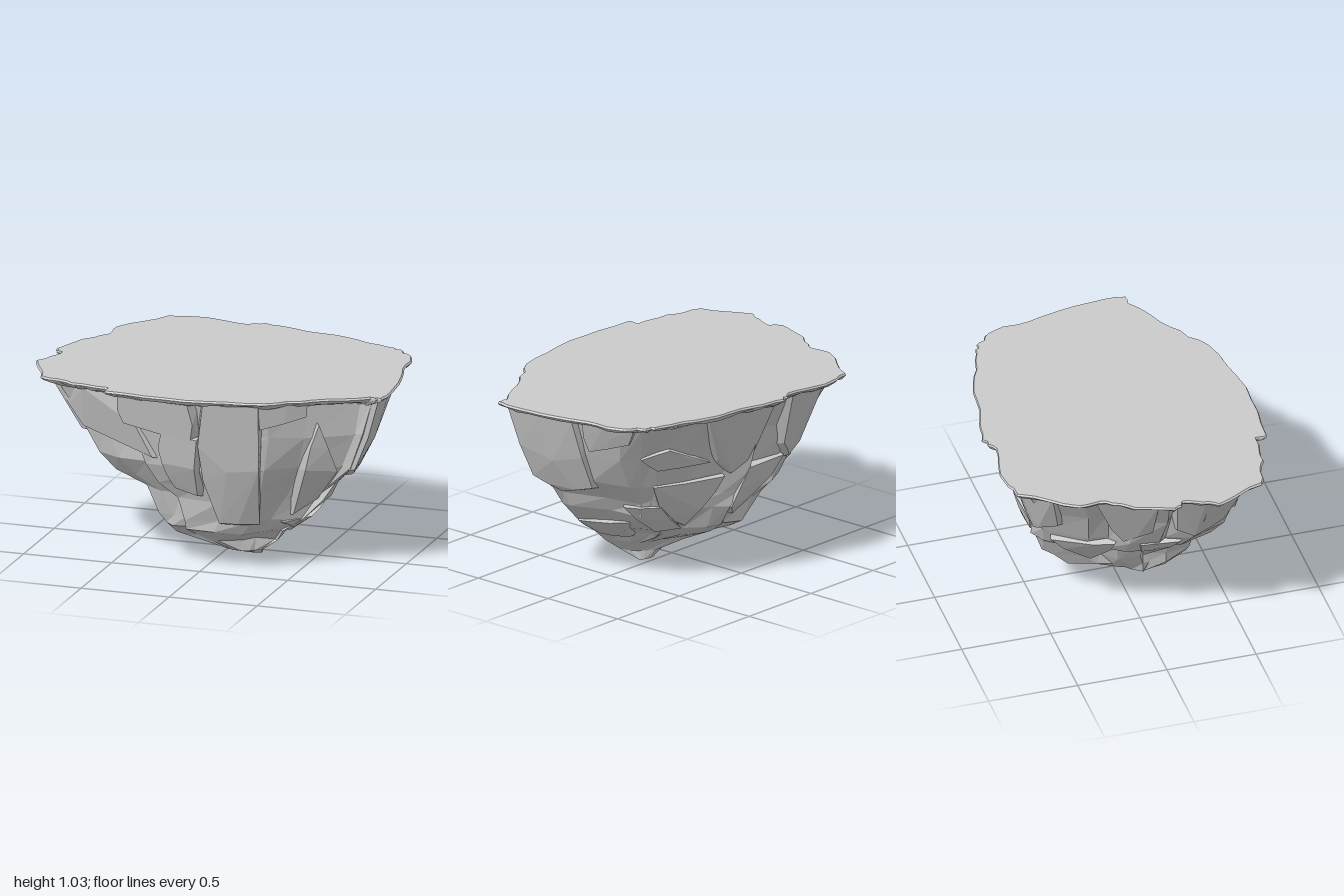
import * as THREE from 'three';
import { ConvexGeometry } from 'three/addons/geometries/ConvexGeometry.js';

// Plan of the top, clockwise from the left
const OUTLINE = [
  [-1, .3], [-.92, .13], [-.97, .06], [-.9, -.15], [-.8, -.28], [-.8, -.43], [-.6, -.72],
  [-.4, -.755], [-.16, -.705], [-.06, -.755], [.13, -.71], [.45, -.65], [.72, -.55], [.81, -.51],
  [.89, -.41], [.94, -.13], [1, .25], [.99, .37], [.92, .37], [.65, .52], [.43, .67], [0, .75],
  [-.46, .725], [-.47, .66], [-.68, .64], [-.88, .57],
];
const N = OUTLINE.length;

// Rock profile, top to tip: y, left, right, back, front
const ROWS = [
  [1, -.92, .93, -.68, .67], [.8, -.79, .87, -.59, .62], [.6, -.69, .79, -.54, .575],
  [.48, -.58, .68, -.51, .51], [.4, -.41, .62, -.48, .475], [.27, -.33, .5, -.41, .445],
  [.2, -.3, .39, -.31, .42], [.12, -.26, .33, -.1, .26], [.05, .03, .24, 0, .22],
  [0, .1, .2, .03, .07],
];

const material = new THREE.MeshStandardMaterial({ color: 0xcccccc, flatShading: true });

// Seeded noise between -1 and 1
function makeNoise(seed) {
  return () => {
    seed = (seed * 16807) % 2147483647;
    return seed / 1073741823.5 - 1;
  };
}

// Point on the plan at a fractional index k
function planPoint(k) {
  const i = Math.floor(k), a = OUTLINE[i % N], b = OUTLINE[(i + 1) % N];
  return [0, 1].map(c => THREE.MathUtils.lerp(a[c], b[c], k - i));
}

// Point of the rock at plan index k and height y; the back left corner is worn away lower down
function surface(k, y) {
  let r = 0;
  while (r < ROWS.length - 2 && ROWS[r + 1][0] > y) r++;
  const f = (ROWS[r][0] - y) / (ROWS[r][0] - ROWS[r + 1][0]);
  const [, left, right, back, front] = ROWS[r].map((v, c) => THREE.MathUtils.lerp(v, ROWS[r + 1][c], f));
  const [u, v] = planPoint(k);
  const worn = u > 0 && v < 0 ? 1 + .65 * u * v * (1 - y) : 1;
  return new THREE.Vector3(
    (left + right) / 2 + u * worn * (right - left) / 2, y,
    (back + front) / 2 + v * worn / .75 * (front - back) / 2);
}

// Rock point on the +main side, at coordinate c along the other horizontal axis
function pointFacing(main, across, c, y) {
  let best, score = Infinity;
  for (let k = 0; k < N; k += .1) {
    const p = surface(k, y);
    const d = Math.abs(p[across] - c) + (p[main] < .05 ? 1 : 0);
    if (d < score) [score, best] = [d, p];
  }
  return best;
}
const onFront = (x, y) => pointFacing('z', 'x', x, y);
const onLeft = (z, y) => pointFacing('x', 'z', z, y);

// Closed skin through rings listed from top to bottom
function loft(rings) {
  const n = rings[0].length, last = rings.length - 1, points = rings.flat(), index = [];
  for (let r = 0; r < last; r++) {
    for (let j = 0; j < n; j++) {
      const a = r * n + j, b = r * n + (j + 1) % n;
      index.push(a, b, b + n, a, b + n, a + n);
    }
  }
  [0, last].forEach(r => {
    const centre = new THREE.Vector3();
    rings[r].forEach(p => centre.addScaledVector(p, 1 / n));
    const c = points.push(centre) - 1;
    for (let j = 0; j < n; j++) {
      const a = r * n + j, b = r * n + (j + 1) % n;
      index.push(c, r ? a : b, r ? b : a);
    }
  });
  const geometry = new THREE.BufferGeometry().setFromPoints(points);
  geometry.setIndex(index);
  const flat = geometry.toNonIndexed();
  flat.computeVertexNormals();
  return flat;
}

// Bevelled rock plate following the surface between corners
function plate(locate, depth, corners) {
  const edge = corners.flatMap((a, i) => {
    const b = corners[(i + 1) % corners.length];
    return [a, [(a[0] + b[0]) / 2, (a[1] + b[1]) / 2]];
  });
  const mid = [0, 1].map(c => corners.reduce((s, p) => s + p[c], 0) / corners.length);
  const push = (c, y, d) => {
    const p = locate(c, y);
    return p.addScaledVector(new THREE.Vector3(p.x - .1, 0, p.z - .05).normalize(), d);
  };
  const points = [push(...mid, depth)];
  edge.forEach(([c, y]) => {
    points.push(push(c, y, -.04));
    const s = .9;
    points.push(push(mid[0] + (c - mid[0]) * s, y > .98 ? y : mid[1] + (y - mid[1]) * s, depth));
  });
  return new ConvexGeometry(points);
}

const FRONT_PLATES = [
  [.045, [[-.41, 1], [-.37, .83], [-.18, .8], [.04, .75], [.04, 1]]],
  [.045, [[-.18, .82], [-.17, .62], [-.11, .45], [.03, .41], [.04, .8]]],
  [.04, [[.06, 1], [.02, .52], [.1, .24], [.3, .23], [.4, 1]]],
  [.035, [[.36, .85], [.58, .92], [.6, 1], [.36, 1]]],
  [.02, [[-.85, .98], [-.66, .74], [-.18, .62], [-.42, 1]]],
  [.025, [[.64, .9], [.54, .6], [.43, .28], [.56, .38], [.7, .58]]],
];
const LEFT_PLATES = [
  [.035, [[.34, 1], [.29, .57], [.12, .49], [-.1, .56], [-.12, 1]]],
  [.03, [[-.12, .81], [-.38, .9], [-.45, 1], [-.12, 1]]],
  [.03, [[.3, .26], [.16, .17], [-.02, .18], [-.14, .34], [.1, .3]]],
  [.035, [[-.38, .7], [-.37, .8], [-.46, .84], [-.5, .7]]],
  [.03, [[-.15, .46], [-.32, .46], [-.3, .28], [-.2, .26]]],
];

export function createModel() {
  const group = new THREE.Group();
  const add = (name, geometry) => {
    const mesh = new THREE.Mesh(geometry, material);
    mesh.name = name;
    group.add(mesh);
  };
  const noise = makeNoise(11);

  // Flat ground with a thin ragged lip
  const ragged = Array.from({ length: N * 4 }, (_, i) => {
    const s = i % 4 ? 1 + noise() * .014 : 1;
    return planPoint(i / 4).map((v, c) => THREE.MathUtils.clamp(v * s, c ? -.755 : -1, c ? .75 : 1));
  });
  const lip = [[1.03, .992], [1.02, 1], [1.005, .985], [.985, .92]];
  add('ground', loft(lip.map(([y, s], r) => ragged.map(([x, z]) => {
    const w = r > 1 ? noise() * .012 : 0;
    return new THREE.Vector3(x * (s + w), y + w, z * (s + w));
  }))));

  // Tapering rock mass beneath, roughened ring by ring
  add('rock', loft(ROWS.map(([y], r) => OUTLINE.map((_, k) => {
    const p = surface(k, y), rough = r === 0 || r > 7 ? 0 : .014;
    return p.add(new THREE.Vector3(noise(), noise(), noise()).multiplyScalar(rough));
  }))));

  // Broken plates standing out from the front and left
  FRONT_PLATES.forEach(([depth, corners], i) => add(`frontPlate${i + 1}`, plate(onFront, depth, corners)));
  LEFT_PLATES.forEach(([depth, corners], i) => add(`leftPlate${i + 1}`, plate(onLeft, depth, corners)));

  // Large staggered plates round the right and back
  [[1, .6], [.62, .3]].forEach(([top, bottom], band) => {
    for (let k = N - 1 + band * 1.3; k < N + 10; k += 3.2) {
      const drop = noise() * .06, lean = noise() * .3;
      const high = band ? top + drop : top;
      add(`backPlate${band + 1}`, plate(surface, .018 + noise() * .008, [
        [k, high], [k + 2.4, high], [k + 2 + lean, bottom + .08], [k + 1.1, bottom + drop], [k + .3 + lean, bottom + .1],
      ]));
    }
  });
  return group;
}
